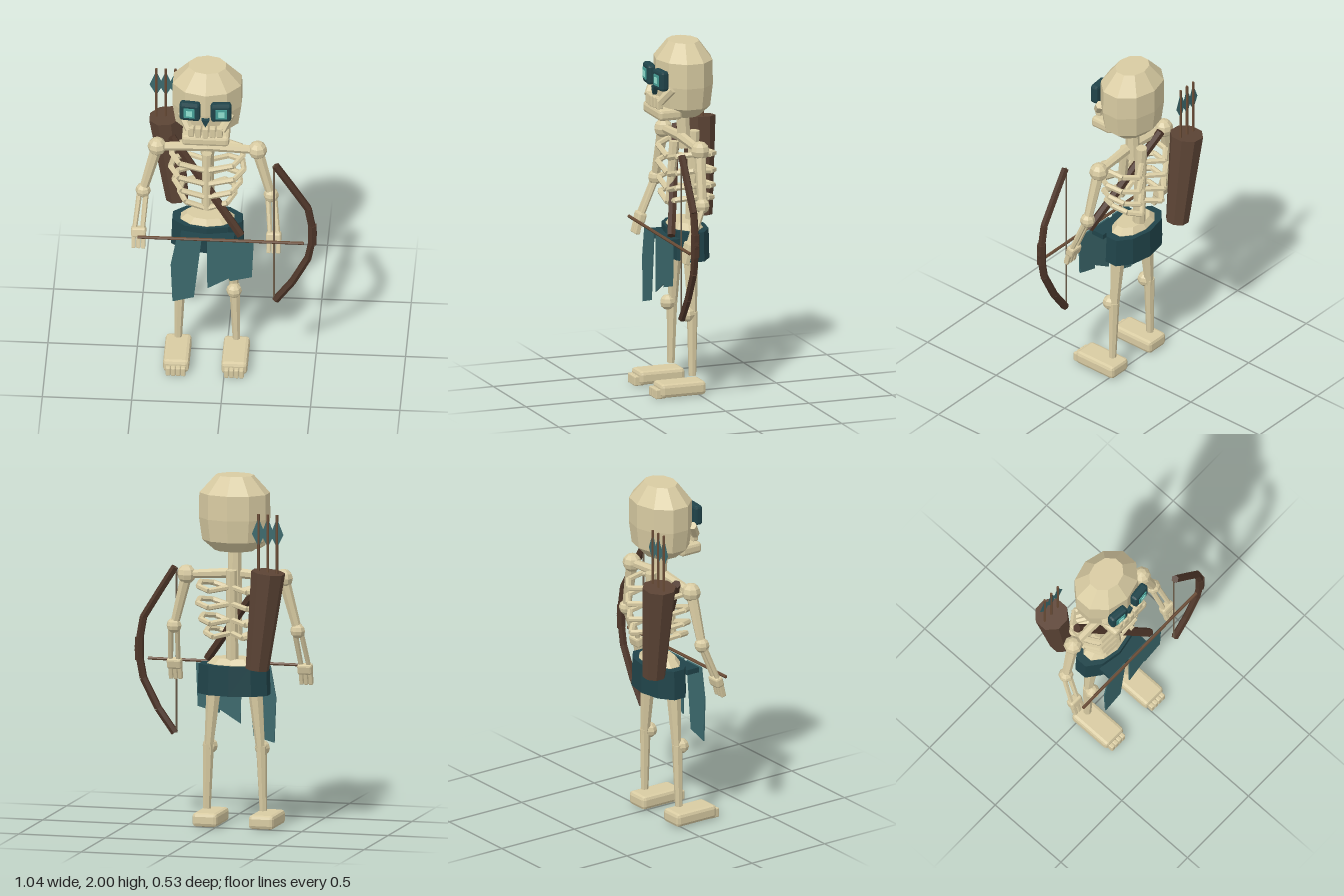
import * as THREE from 'three';
import { RoundedBoxGeometry } from 'three/addons/geometries/RoundedBoxGeometry.js';

const mat = (name, color, side = THREE.FrontSide) => {
  const m = new THREE.MeshStandardMaterial({ color, side, flatShading: true });
  m.name = name;
  return m;
};

export function createModel() {
  const bone = mat('bone', 0xd8cba2);
  const wood = mat('dark wood', 0x4e3629);
  const leather = mat('leather', 0x5c4435);
  const shaftWood = mat('shaft wood', 0x6a4c36);
  const cord = mat('cord', 0x6e5f4c);
  const cloth = mat('teal cloth', 0x3b686c, THREE.DoubleSide);
  const darkCloth = mat('dark teal', 0x20444a);
  const glow = mat('eye teal', 0x48a299);
  const pupil = mat('eye glow', 0x92e2d2);

  const V = (x, y, z) => new THREE.Vector3(x, y, z);
  const model = new THREE.Group();
  model.name = 'skeletonArcher';
  const body = new THREE.Group();
  body.name = 'body';
  body.position.x = -0.107;
  model.add(body);

  const add = (name, geo, material, parent = body, pos = [0, 0, 0], rot = [0, 0, 0]) => {
    const m = new THREE.Mesh(geo, material);
    m.name = name;
    m.position.set(...pos);
    m.rotation.set(...rot);
    parent.add(m);
    return m;
  };
  // Tapered rod from a to b
  const rod = (name, a, b, ra, rb, material = bone, parent = body, sides = 7) => {
    const d = b.clone().sub(a);
    const m = add(name, new THREE.CylinderGeometry(rb, ra, d.length(), sides), material, parent);
    m.position.copy(a).addScaledVector(d, 0.5);
    m.quaternion.setFromUnitVectors(V(0, 1, 0), d.normalize());
    return m;
  };
  const chain = (name, pts, r, material, parent) =>
    pts.slice(1).forEach((p, i) => rod(name, pts[i], p, r, r, material, parent, 6));
  const ball = (name, p, r) => add(name, new THREE.SphereGeometry(r, 8, 6), bone, body, p.toArray());
  const rbox = (w, h, d, r) => new RoundedBoxGeometry(w, h, d, 1, r);
  const lathe = (pts) => new THREE.LatheGeometry(pts.map(p => new THREE.Vector2(...p)), 10);

  // Skull
  const skull = lathe([[0, 1.575], [0.55, 1.575], [0.9, 1.635], [0.99, 1.76], [0.98, 1.9], [0.53, 2], [0, 2]]);
  skull.scale(0.205, 1, 0.165);
  add('skull', skull, bone, body, [0, 0, 0.017]);
  add('jaw', rbox(0.265, 0.064, 0.14, 0.018), bone, body, [0, 1.604, 0.14]);
  for (let i = -2; i <= 2; i++)
    add('tooth', rbox(0.033, 0.066, 0.035, 0.006), bone, body, [i * 0.04, 1.666, 0.198 - Math.abs(i) * 0.004]);
  const nose = new THREE.Shape([[-0.022, 0.022], [0, -0.026], [0.022, 0.022]].map(p => new THREE.Vector2(...p)));
  add('nose', new THREE.ExtrudeGeometry(nose, { depth: 0.03, bevelEnabled: false }), darkCloth, body, [0, 1.725, 0.17]);
  for (const s of [-1, 1]) {
    const eye = new THREE.Group();
    eye.name = 'eye';
    eye.position.set(s * 0.087, 1.803, 0.185);
    eye.rotation.y = s * 0.1;
    body.add(eye);
    add('eyeSocket', rbox(0.115, 0.115, 0.05, 0.015), darkCloth, eye);
    add('iris', new THREE.BoxGeometry(0.062, 0.062, 0.009), glow, eye, [0, 0, 0.026]);
    add('pupil', new THREE.BoxGeometry(0.034, 0.034, 0.009), pupil, eye, [0, 0, 0.03]);
    rod('cheekbone', V(s * 0.14, 1.755, 0.135), V(s * 0.09, 1.675, 0.19), 0.025, 0.025, bone, body, 6);
  }

  // Spine, breastbone and pelvis
  rod('neck', V(0, 1.38, 0.01), V(0, 1.6, 0.02), 0.04, 0.038, bone, body, 8);
  rod('spine', V(0, 0.93, -0.03), V(0, 1.47, -0.05), 0.036, 0.032, bone, body, 8);
  rod('breastbone', V(0, 1.08, 0.1), V(0, 1.42, 0.07), 0.022, 0.03);
  const pelvis = lathe([[0, 0.85], [0.85, 0.85], [0.85, 0.935], [0.65, 0.968], [0, 0.968]]);
  pelvis.scale(0.185, 1, 0.11);
  add('pelvis', pelvis, bone, body, [0, 0, 0.01]);

  // Ribs: hoops from the spine round to the breastbone
  for (const s of [-1, 1])
    [[1.385, 0.2], [1.29, 0.205], [1.2, 0.185], [1.125, 0.155]].forEach(([y, w]) =>
      chain('rib', [
        V(s * 0.01, y - 0.01, -0.06), V(s * w * 0.55, y - 0.025, -0.125), V(s * w * 0.93, y - 0.01, -0.07),
        V(s * w, y, 0.03), V(s * w * 0.75, y - 0.015, 0.11), V(s * 0.015, y - 0.055, 0.105),
      ], 0.0165, bone, body));

  for (const s of [-1, 1]) {
    // Arms
    const shoulder = V(s * 0.281, 1.425, 0.025), elbow = V(s * 0.358, 1.128, 0.042), wrist = V(s * 0.378, 0.92, 0.122);
    rod('collarbone', V(0, 1.445, 0.03), shoulder, 0.03, 0.024);
    ball('shoulder', shoulder, 0.054);
    rod('upperArm', shoulder, elbow, 0.034, 0.025);
    ball('elbow', elbow, 0.043);
    for (const k of [-1, 1])
      rod('forearmBone', elbow.clone().add(V(k * 0.018, 0, 0)), wrist.clone().add(V(k * 0.022, 0, 0)), 0.016, 0.014, bone, body, 6);
    const hand = new THREE.Group();
    hand.name = 'hand';
    hand.position.copy(wrist);
    hand.rotation.x = -0.25;
    body.add(hand);
    add('palm', rbox(0.084, 0.06, 0.05, 0.012), bone, hand, [0, -0.02, 0]);
    for (let i = -1; i <= 1; i++)
      add('finger', rbox(0.023, 0.075, 0.03, 0.005), bone, hand, [i * 0.027, -0.078, 0.006]);

    // Legs
    const hip = V(s * 0.115, 0.85, 0.02), knee = V(s * 0.151, 0.457, 0.05);
    rod('thigh', hip, V(s * 0.151, 0.44, 0.02), 0.046, 0.025);
    ball('knee', knee, 0.044);
    rod('shin', V(s * 0.153, 0.47, 0.022), V(s * 0.163, 0.105, 0.025), 0.031, 0.022);
    add('foot', rbox(0.145, 0.078, 0.272, 0.02), bone, body, [s * 0.163, 0.044, 0.102]);
    for (let i = 0; i < 4; i++)
      add('toe', rbox(0.026, 0.055, 0.06, 0.006), bone, body, [s * 0.163 + (i - 1.5) * 0.028, 0.028, 0.235]);
  }

  // Skirt band and ragged front panels
  const skirt = new THREE.CylinderGeometry(0.97, 1, 0.168, 10);
  skirt.scale(0.212, 1, 0.12);
  add('skirtBand', skirt, darkCloth, body, [0, 0.848, 0.005]);
  const panels = [
    [[-0.27, 0.9], [-0.13, 0.9], [-0.172, 0.5], [-0.292, 0.465], [-0.302, 0.72]],
    [[-0.1, 0.9], [0.162, 0.9], [0.152, 0.655], [0.027, 0.62], [0.024, 0.64], [-0.097, 0.565]],
  ];
  for (const p of panels)
    add('clothPanel', new THREE.ExtrudeGeometry(new THREE.Shape(p.map(q => new THREE.Vector2(...q))),
      { depth: 0.008, bevelEnabled: false }), cloth, model, [0, 0, 0.178]);
  add('clothFold', new THREE.BoxGeometry(0.3, 0.03, 0.08), darkCloth, model, [-0.1, 0.88, 0.138]);

  // Strap and quiver
  rod('strap', V(-0.31, 1.46, -0.02), V(0.09, 0.93, 0.165), 0.025, 0.025, wood, model, 6);
  rod('quiver', V(-0.287, 0.935, -0.16), V(-0.354, 1.49, -0.172), 0.066, 0.096, leather, model, 8)
    .geometry.rotateY(Math.PI / 8);

  // Spare arrows
  const vane = new THREE.Shape([[0, 0.1], [0.038, 0.005], [0, -0.068], [-0.038, 0.005]].map(p => new THREE.Vector2(...p)));
  for (const x of [-0.405, -0.352, -0.298]) {
    rod('arrowShaft', V(x, 1.4, -0.175), V(x, 1.815, -0.175), 0.008, 0.008, shaftWood, model, 5);
    add('fletching', new THREE.ShapeGeometry(vane), cloth, model, [x, 1.698, -0.175]);
  }

  // Bow, string and nocked arrow
  const bow = [[0.284, 1.435], [0.37, 1.3], [0.466, 1.145], [0.497, 0.968], [0.466, 0.8], [0.38, 0.632], [0.284, 0.498]]
    .map(([x, y]) => V(x, y, 0.178));
  chain('bowLimb', bow, 0.022, wood, model);
  rod('bowGrip', V(0.49, 1.03, 0.178), V(0.49, 0.9, 0.178), 0.026, 0.026, wood, model, 6);
  rod('bowString', V(0.275, 0.5, 0.178), V(0.275, 1.435, 0.178), 0.005, 0.005, cord, model, 5);
  rod('nockedArrow', V(-0.488, 0.91, 0.192), V(0.443, 0.91, 0.192), 0.009, 0.009, shaftWood, model, 6);

  return model;
}
